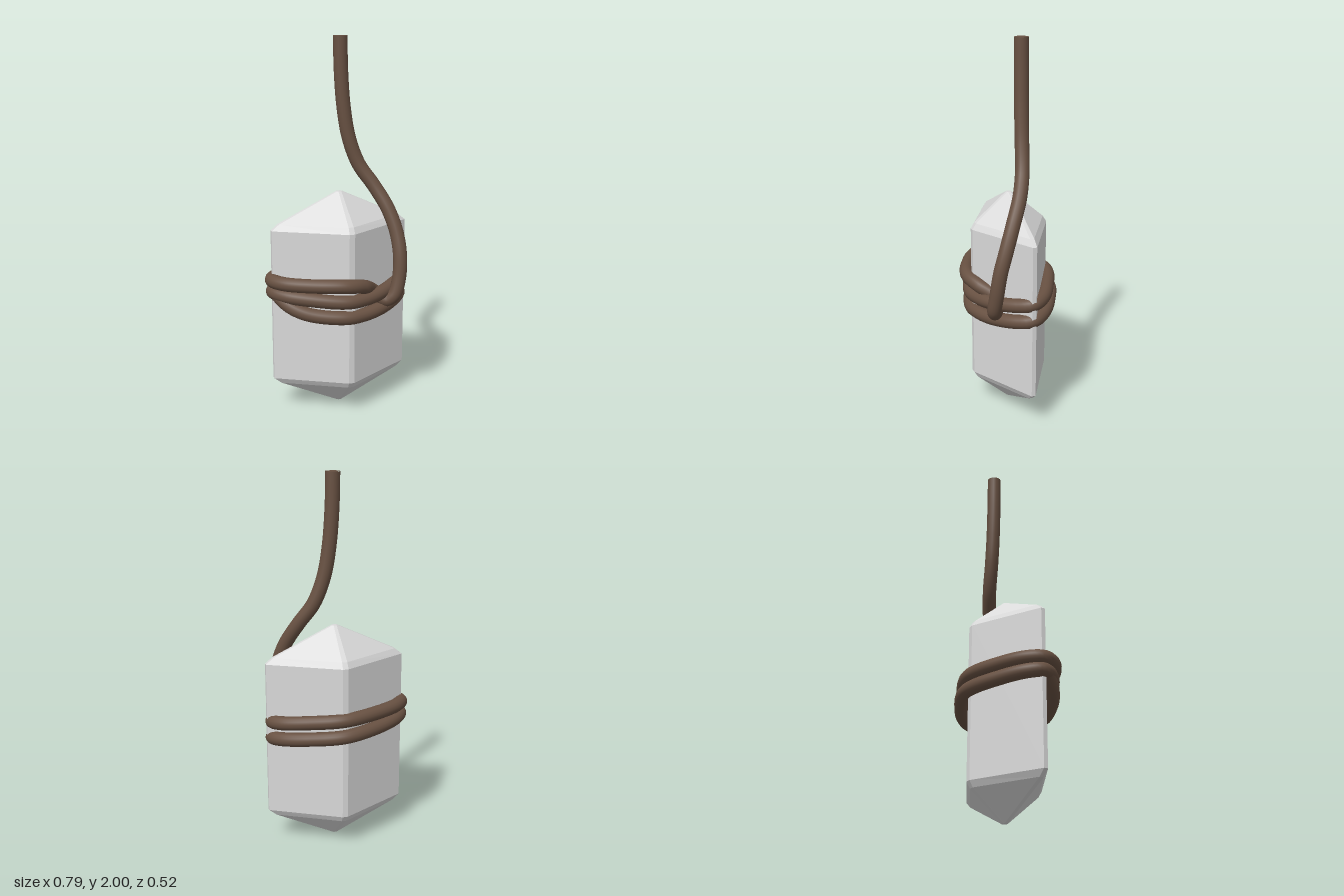
import * as THREE from 'three';

const crystalMat = new THREE.MeshStandardMaterial({ color: 0xd9d9d9 });
crystalMat.name = 'paleCrystal';
const cordMat = new THREE.MeshStandardMaterial({ color: 0x685142 });
cordMat.name = 'brownCord';

// Eight-sided section: a diamond with its four corners cut off
function section(y, ax, az, bx, bz) {
  return [[ax, bz], [bx, az], [-bx, az], [-ax, bz], [-ax, -bz], [-bx, -az], [bx, -az], [ax, -bz]]
    .map(([x, z]) => [x, y, z]);
}

// Faceted double-pointed crystal, skinned between sections
function crystalGeometry() {
  const rings = [
    section(0, 0.014, 0.013, 0.008, 0.008),
    section(0.152, 0.335, 0.188, 0.014, 0.011),
    section(0.185, 0.375, 0.208, 0.015, 0.011),
    section(1.015, 0.375, 0.208, 0.015, 0.011),
    section(1.048, 0.335, 0.188, 0.014, 0.011),
    section(1.2, 0.014, 0.013, 0.008, 0.008),
  ];
  const pos = [];
  const tri = (a, b, c) => pos.push(...a, ...b, ...c);
  for (let i = 0; i < rings.length - 1; i++) {
    for (let j = 0; j < 8; j++) {
      const k = (j + 1) % 8;
      const lo = rings[i], hi = rings[i + 1];
      tri(lo[j], hi[k], lo[k]);
      tri(lo[j], hi[j], hi[k]);
    }
  }
  const bottom = rings[0], top = rings[rings.length - 1];
  for (let j = 1; j < 7; j++) {
    tri(bottom[0], bottom[j], bottom[j + 1]);
    tri(top[0], top[j + 1], top[j]);
  }
  const geo = new THREE.BufferGeometry();
  geo.setAttribute('position', new THREE.Float32BufferAttribute(pos, 3));
  geo.computeVertexNormals();
  return geo;
}

// Cord path: two wraps, a tuck under the second wrap, then the hanging length
const wrapPath = [
  [-0.34, 0.67, 0.03], [-0.29, 0.62, 0.09], [-0.2, 0.582, 0.145], [-0.02, 0.562, 0.203],
  [0.08, 0.562, 0.19], [0.2, 0.572, 0.145], [0.32, 0.592, 0.06], [0.36, 0.605, 0],
  [0.32, 0.615, -0.07], [0.2, 0.632, -0.155], [0.02, 0.652, -0.222], [-0.2, 0.665, -0.148],
  [-0.32, 0.675, -0.065], [-0.355, 0.68, 0], [-0.31, 0.675, 0.075], [-0.2, 0.665, 0.145],
  [-0.02, 0.65, 0.207], [0.08, 0.65, 0.195], [0.2, 0.662, 0.15], [0.32, 0.682, 0.06],
  [0.36, 0.695, 0], [0.32, 0.705, -0.07], [0.2, 0.72, -0.145], [0.02, 0.737, -0.208],
  [-0.2, 0.743, -0.14], [-0.32, 0.745, -0.065], [-0.36, 0.745, 0], [-0.32, 0.745, 0.08],
  [-0.2, 0.745, 0.16], [-0.02, 0.742, 0.222], [0.08, 0.722, 0.195], [0.16, 0.672, 0.125],
];
const hangPath = [
  [0.225, 0.618, 0.15], [0.265, 0.645, 0.172], [0.295, 0.74, 0.169], [0.305, 0.86, 0.153],
  [0.297, 0.98, 0.117], [0.265, 1.1, 0.07], [0.205, 1.22, 0.012], [0.135, 1.33, -0.028],
  [0.085, 1.47, -0.045], [0.058, 1.63, -0.052], [0.044, 1.82, -0.056], [0.04, 2, -0.057],
];

export function createModel() {
  const model = new THREE.Group();
  model.name = 'crystalPendant';

  const crystal = new THREE.Mesh(crystalGeometry(), crystalMat);
  crystal.name = 'crystal';
  crystal.position.x = 0.015;
  model.add(crystal);

  const r = 0.0375;
  const points = [...wrapPath, ...hangPath].map((p) => new THREE.Vector3(...p));
  const curve = new THREE.CatmullRomCurve3(points, false, 'centripetal');
  const cord = new THREE.Mesh(new THREE.TubeGeometry(curve, 360, r, 16), cordMat);
  cord.name = 'cord';
  model.add(cord);

  // Flat cut at the upper end of the cord
  const cordEnd = new THREE.Mesh(new THREE.CircleGeometry(r, 16), cordMat);
  cordEnd.name = 'cordEnd';
  cordEnd.rotation.x = -Math.PI / 2;
  cordEnd.position.copy(points[points.length - 1]);
  model.add(cordEnd);

  return model;
}
